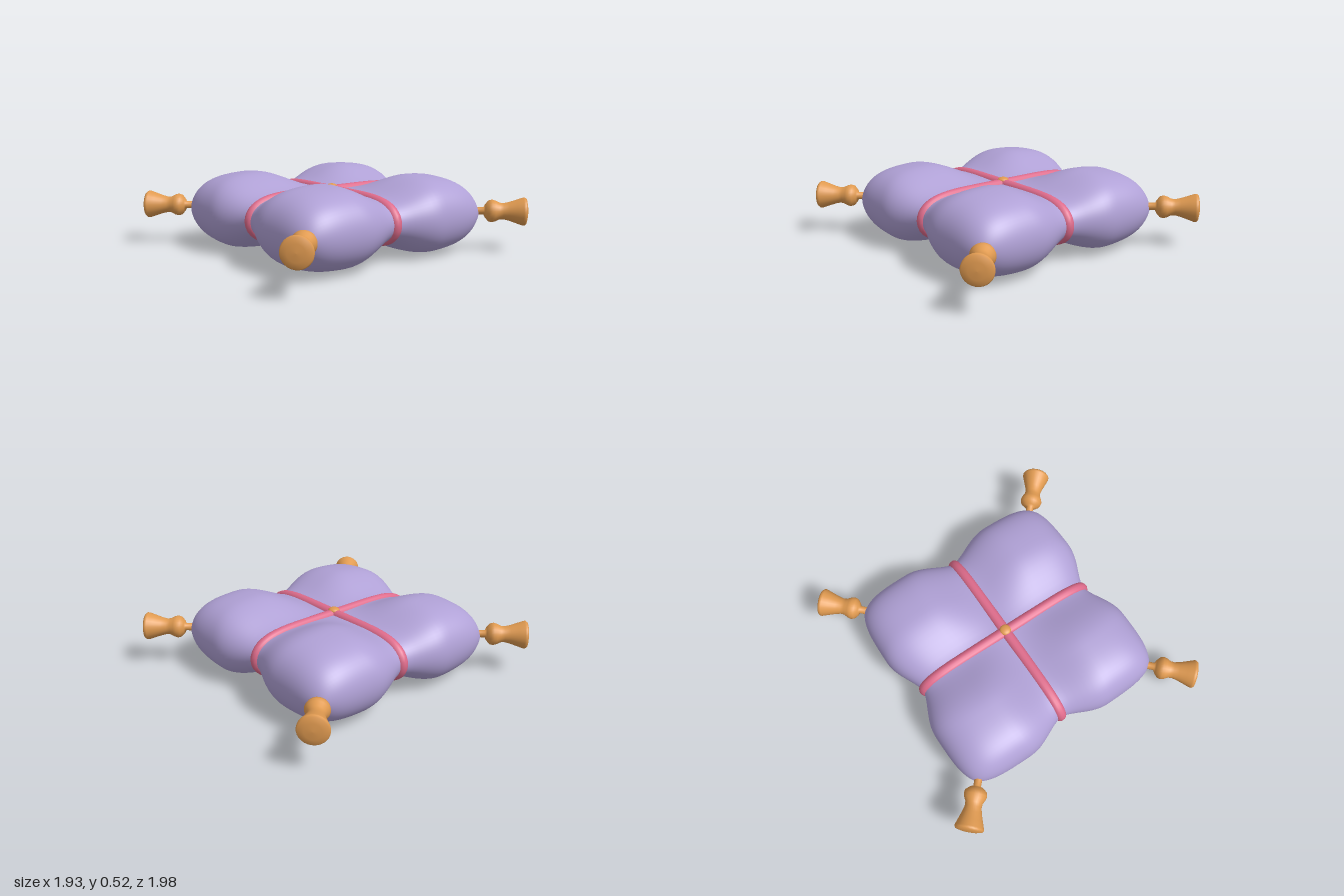
import * as THREE from 'three';
import { mergeGeometries, mergeVertices } from 'three/addons/utils/BufferGeometryUtils.js';

const MID = 0.273; // height of the cushion's seam

// 0 on the tied centre lines, rising to 1 on the plump lobes
const swell = (d, reach) => Math.pow(Math.sin(Math.min(1, Math.abs(d) / reach) * Math.PI / 2), 1.5);
const edge = (s) => Math.sqrt(Math.max(0, 1 - Math.pow(Math.abs(s), 6)));

// Cushion surface: s and t run -1..1 across it, side is +1 on top and -1 below
function cushionPoint(s, t, side) {
  const halfWidth = (c) => (0.66 + 0.1 * swell(0.76 * c, 0.34)) * (1 - 0.08 * Math.pow(c, 8));
  const plump = 0.56 + 0.44 * swell(0.76 * s, 0.38) * swell(0.76 * t, 0.38);
  const h = 0.262 * edge(s) * edge(t) * plump;
  return new THREE.Vector3(s * halfWidth(t), side * h, t * halfWidth(s));
}

function cushionGeometry() {
  const halves = [1, -1].map((side) => {
    const g = new THREE.PlaneGeometry(2, 2, 56, 56).rotateX(-side * Math.PI / 2);
    g.deleteAttribute('uv');
    g.deleteAttribute('normal');
    const p = g.attributes.position;
    for (let i = 0; i < p.count; i++) {
      // sine spacing puts more rows near the rounded rim
      const s = Math.sin(p.getX(i) * Math.PI / 2);
      const t = Math.sin(p.getZ(i) * Math.PI / 2);
      const v = cushionPoint(s, t, side);
      p.setXYZ(i, v.x, v.y, v.z);
    }
    return g;
  });
  const g = mergeVertices(mergeGeometries(halves), 1e-4);
  g.computeVertexNormals();
  return g;
}

// Closed cord that follows the cushion's centre line, slightly sunk in
function cordGeometry() {
  const pts = [];
  const n = 40;
  for (let i = 0; i < n; i++) {
    const a = (i / n) * Math.PI * 2;
    const v = cushionPoint(Math.cos(a), 0, Math.sin(a) < 0 ? -1 : 1);
    pts.push(new THREE.Vector3(v.x * 0.982, v.y * 0.92, 0));
  }
  const path = new THREE.CatmullRomCurve3(pts, true);
  return new THREE.TubeGeometry(path, 120, 0.038, 14, true);
}

// Knob, waist and flared skirt, turned around the tassel's axis
function tasselGeometry() {
  const profile = [
    [0.025, 0.96], [0.025, 1.02], [0.045, 1.03], [0.07, 1.052], [0.076, 1.075],
    [0.07, 1.097], [0.056, 1.125], [0.054, 1.15], [0.062, 1.185], [0.079, 1.235],
    [0.093, 1.275], [0.094, 1.287], [0.086, 1.298], [0.05, 1.306], [0, 1.309],
  ].map(([r, d]) => new THREE.Vector2(r, d));
  return new THREE.LatheGeometry(profile, 28);
}

export function createModel() {
  const lilac = new THREE.MeshStandardMaterial({ color: 0xb0a1d6 });
  lilac.name = 'lilacFabric';
  const rose = new THREE.MeshStandardMaterial({ color: 0xde6b8b });
  rose.name = 'roseCord';
  const gold = new THREE.MeshStandardMaterial({ color: 0xe09a50 });
  gold.name = 'goldThread';

  const model = new THREE.Group();
  model.name = 'cushion';
  const add = (name, geometry, material) => {
    const mesh = new THREE.Mesh(geometry, material);
    mesh.name = name;
    mesh.position.y = MID;
    model.add(mesh);
    return mesh;
  };

  add('pillow', cushionGeometry(), lilac);

  // Two crossing cords
  const cord = cordGeometry();
  add('cordAcross', cord, rose);
  add('cordFrontToBack', cord, rose).rotation.y = Math.PI / 2;

  // Buttons where the cords cross, above and below
  const button = new THREE.SphereGeometry(0.038, 20, 12).scale(1, 0.5, 1);
  add('topButton', button, gold).position.y = MID + 0.166;
  add('bottomButton', button, gold).position.y = MID - 0.166;

  // Corner tassels
  const tassel = tasselGeometry();
  const up = new THREE.Vector3(0, 1, 0);
  for (const x of [1, -1]) {
    for (const z of [1, -1]) {
      const name = (z > 0 ? 'front' : 'back') + (x > 0 ? 'Left' : 'Right') + 'Tassel';
      const mesh = add(name, tassel, gold);
      mesh.position.y = 0.29;
      mesh.quaternion.setFromUnitVectors(up, new THREE.Vector3(x * 0.9, 0, z * 0.925).normalize());
    }
  }
  return model;
}
